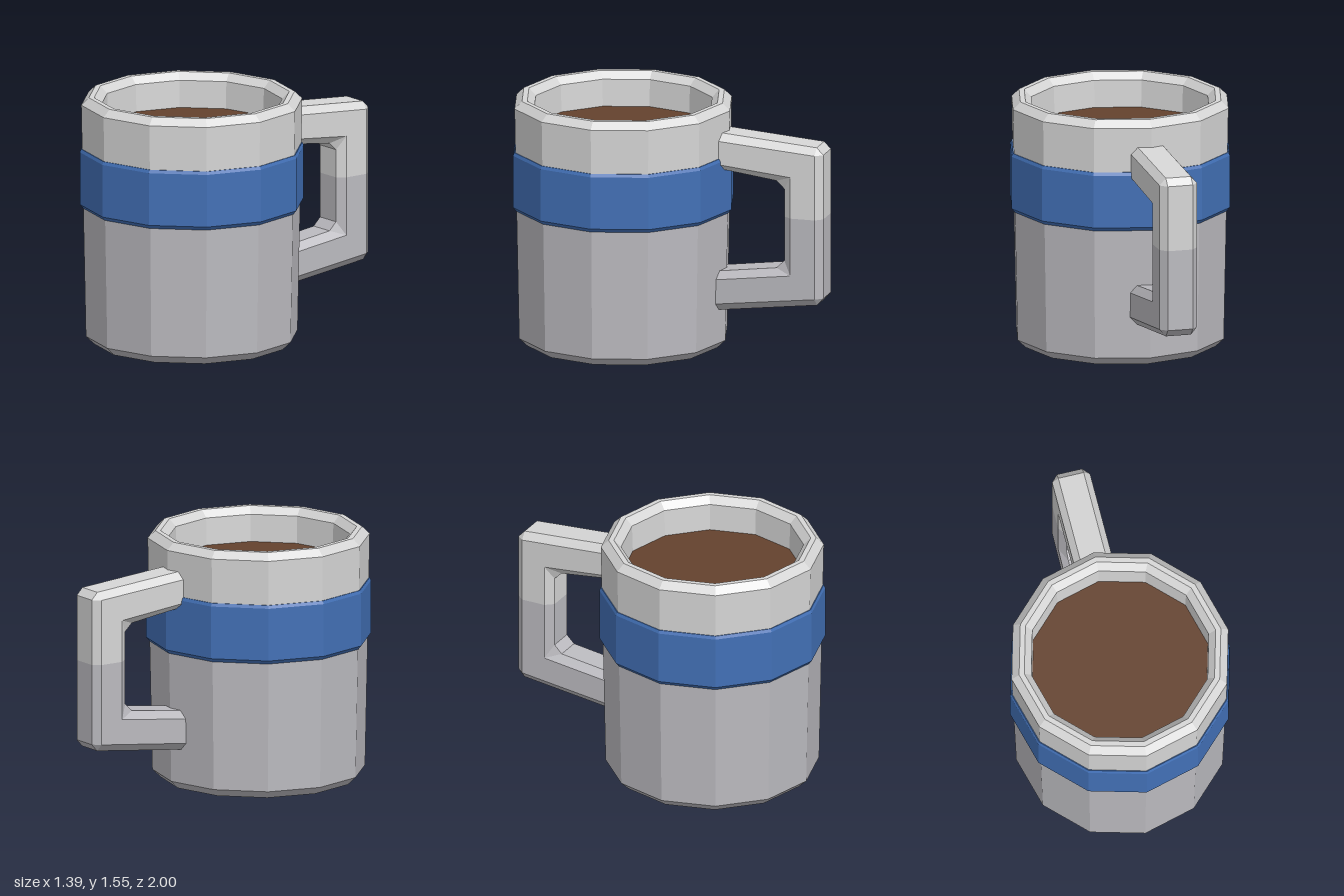
import * as THREE from 'three';

const SIDES = 12;
const CUP_Z = 0.307; // the cup sits forward of centre, the handle behind it

const material = (name, color) => {
  const m = new THREE.MeshStandardMaterial({ color });
  m.name = name;
  return m;
};

// Faceted look: split the faces and give each its own normal
function faceted(geometry) {
  const g = geometry.index ? geometry.toNonIndexed() : geometry;
  g.computeVertexNormals();
  return g;
}

function part(parent, name, geometry, mat) {
  const mesh = new THREE.Mesh(faceted(geometry), mat);
  mesh.name = name;
  parent.add(mesh);
  return mesh;
}

// Twelve-sided turned part from [radius, height] pairs
function turned(profile) {
  return new THREE.LatheGeometry(profile.map(([r, y]) => new THREE.Vector2(r, y)), SIDES);
}

// Chamfered bar through sections of [outer side, outer edge, inner side, inner edge],
// each a [z, y] pair
function bar(sections) {
  const W = 0.12, E = 0.08;
  const rings = sections.map(([os, oe, is, ie]) => [
    [W, os], [E, oe], [-E, oe], [-W, os], [-W, is], [-E, ie], [E, ie], [W, is],
  ].map(([x, [z, y]]) => new THREE.Vector3(x, y, z)));
  const positions = [];
  const triangle = (a, b, c) => {
    if (new THREE.Triangle(a, b, c).getArea() < 1e-7) return; // shared corner points
    for (const v of [a, b, c]) positions.push(v.x, v.y, v.z);
  };
  for (let i = 0; i < rings.length - 1; i++) {
    for (let k = 0; k < 8; k++) {
      const n = (k + 1) % 8;
      const a = rings[i][k], b = rings[i + 1][k], c = rings[i + 1][n], d = rings[i][n];
      triangle(a, b, c);
      triangle(a, c, d);
    }
  }
  const g = new THREE.BufferGeometry();
  g.setAttribute('position', new THREE.Float32BufferAttribute(positions, 3));
  return g;
}

export function createModel() {
  const light = material('light grey', 0xd6d6d6);
  const grey = material('grey', 0xbbbabf);
  const blue = material('blue', 0x4270b6);
  const brown = material('coffee brown', 0x64422e);

  const model = new THREE.Group();
  model.name = 'mug';
  const cup = new THREE.Group();
  cup.name = 'cup';
  cup.position.z = CUP_Z;
  model.add(cup);

  // Lower body with chamfered foot
  part(cup, 'lowerBody', turned([[0, 0], [0.603, 0], [0.655, 0.05], [0.672, 0.89]]), grey);

  // Upper body, bevelled rim and inner wall
  part(cup, 'upperBody', turned([
    [0.672, 0.89], [0.684, 1.51], [0.637, 1.555], [0.604, 1.555], [0.56, 1.51], [0.553, 1.3],
  ]), light);

  // Raised band around the cup
  part(cup, 'band', turned([
    [0.66, 0.86], [0.673, 0.86], [0.693, 0.884], [0.693, 1.213], [0.684, 1.232], [0.67, 1.232],
  ]), blue);

  // Coffee surface
  const coffee = part(cup, 'coffee', new THREE.CircleGeometry(0.555, SIDES), brown);
  coffee.rotation.x = -Math.PI / 2;
  coffee.position.y = 1.34;

  // Handle, changing colour halfway down the grip
  const handle = new THREE.Group();
  handle.name = 'handle';
  model.add(handle);
  const split = [[-0.955, 0.89], [-1, 0.89], [-0.8, 0.89], [-0.75, 0.89]];
  part(handle, 'upperHandle', bar([
    [[-0.3, 1.347], [-0.3, 1.393], [-0.3, 1.2], [-0.3, 1.165]],
    [[-0.955, 1.298], [-0.958, 1.342], [-0.8, 1.15], [-0.7, 1.113]],
    [[-0.955, 1.298], [-1, 1.298], [-0.8, 1.15], [-0.75, 1.065]],
    split,
  ]), light);
  part(handle, 'lowerHandle', bar([
    split,
    [[-0.955, 0.387], [-1, 0.387], [-0.8, 0.525], [-0.75, 0.61]],
    [[-0.955, 0.387], [-0.96, 0.342], [-0.8, 0.525], [-0.7, 0.56]],
    [[-0.3, 0.307], [-0.3, 0.26], [-0.3, 0.461], [-0.3, 0.507]],
  ]), grey);

  return model;
}
